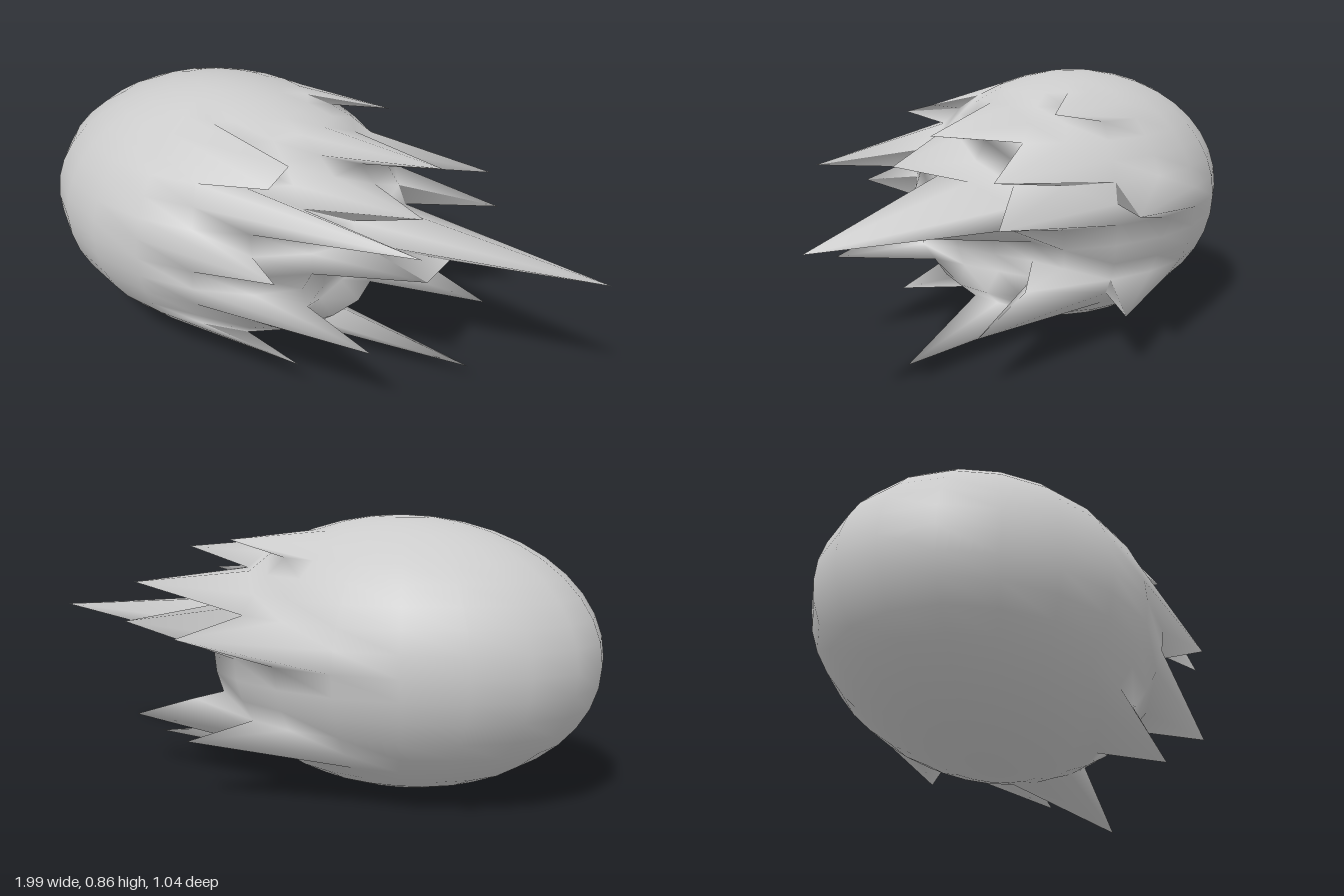
import * as THREE from 'three';
import { mergeVertices } from 'three/addons/utils/BufferGeometryUtils.js';

const SEG = 20;

// Spike tips: [row from top, column around from +x towards +z, x, y, z]
const TIPS = [
  [9, 0, 0.99, 0.5, 0.02],     // long centre spike
  [10, 0, 0.48, 0.43, 0.02],
  [10, 1, 0.48, 0.43, 0.175],
  [5, 0, 0.44, 0.735, 0.02],   // upper spikes
  [7, 1, 0.45, 0.63, 0.16],
  [7, 3, 0.555, 0.63, 0.375],
  [7, -2, 0.49, 0.63, -0.24],
  [9, -2, 0.51, 0.5, -0.27],
  [4, -3, 0.13, 0.78, -0.22],
  [4, 4, 0.07, 0.765, 0.3],    // broad blade
  [5, 4, 0.07, 0.735, 0.41],
  [9, 4, 0.16, 0.5, 0.52],     // side spikes
  [9, -4, 0.14, 0.5, -0.525],
  [12, 3, 0.43, 0.3, 0.425],   // lower spikes
  [14, -2, 0.52, 0.17, -0.2],
  [13, -2, 0.28, 0.25, -0.21],
  [14, -4, 0.13, 0.18, -0.48],
  [15, 4, 0.15, 0.13, 0.38],
  [16, 0, 0.57, 0.06, 0.02],
];

// Hollows between the spikes: [row, first column, last column, x]
const HOLLOWS = [
  [11, -1, 2, 0.12],
  [12, -1, 1, 0.11],
  [13, -1, 2, 0.09],
];

export function createModel() {
  const group = new THREE.Group();

  // Rounded head
  let geo = new THREE.SphereGeometry(1, SEG, SEG);
  geo.scale(0.64, 0.43, 0.5);
  geo.translate(-0.36, 0.43, 0.02);

  // Tail: draw single grid points out along +x, press others in
  const pos = geo.attributes.position;
  const index = (row, col) => row * (SEG + 1) + SEG / 2 - col;
  for (const [row, from, to, x] of HOLLOWS) {
    for (let col = from; col <= to; col++) pos.setX(index(row, col), x);
  }
  for (const [row, col, x, y, z] of TIPS) pos.setXYZ(index(row, col), x, y, z);

  // Weld the seam for continuous smooth shading
  geo.deleteAttribute('uv');
  geo.deleteAttribute('normal');
  geo = mergeVertices(geo, 1e-4);
  geo.computeVertexNormals();

  const fireball = new THREE.Mesh(
    geo,
    new THREE.MeshStandardMaterial({ color: 0xcccccc, side: THREE.DoubleSide })
  );
  fireball.name = 'fireballWithSpikedTail';
  group.add(fireball);
  return group;
}
